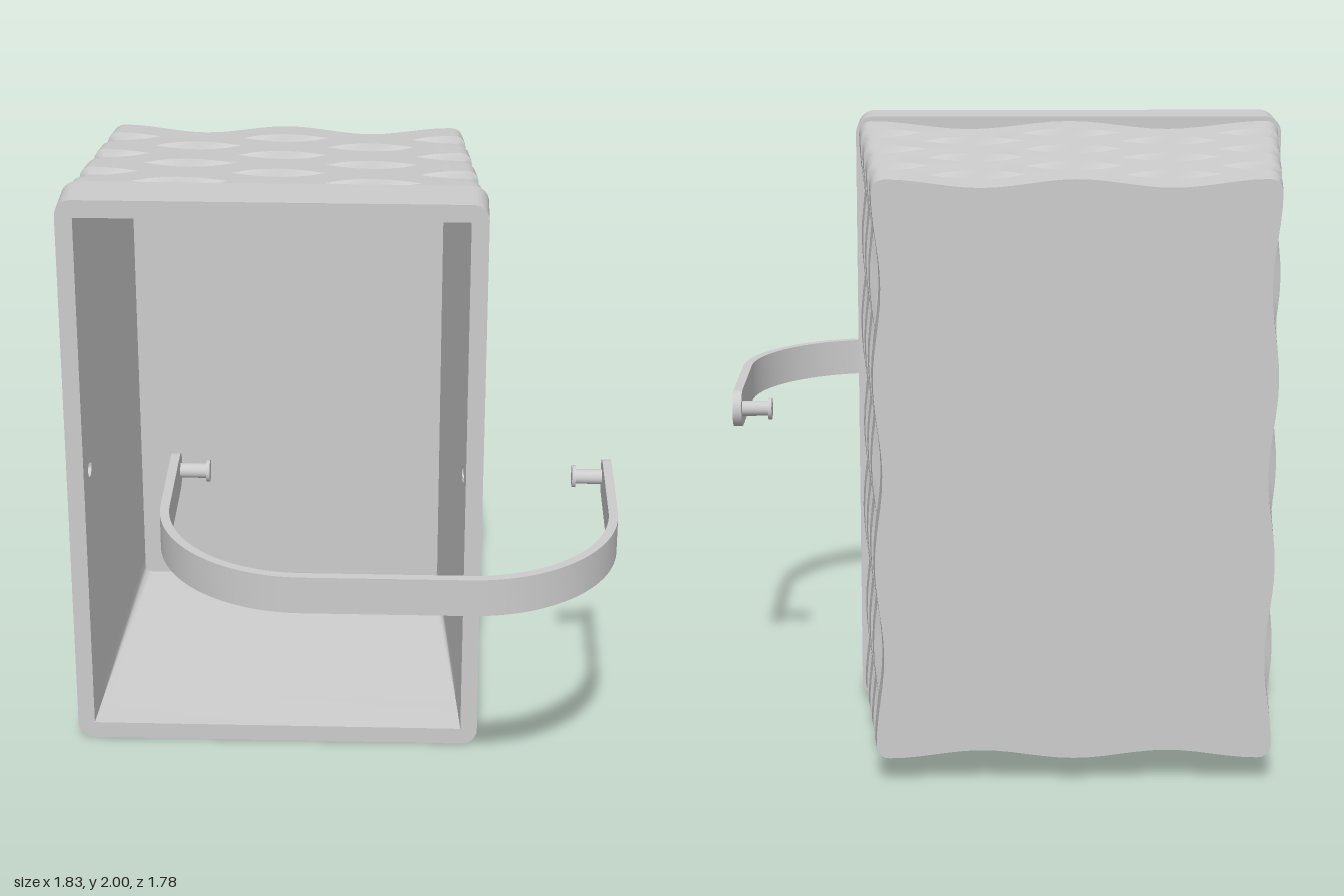
import * as THREE from 'three';
import { toCreasedNormals } from 'three/addons/utils/BufferGeometryUtils.js';

const CX = -0.2175, CY = 1;            // basket centre line
const HW = 0.6975, HH = 1;             // rim half width and half height
const IW = 0.64, IH = 0.94;            // opening half width and half height
const FRONT = 0.12, RIM_BACK = -0.06, BACK = -0.89, FLOOR = -0.85;
const INNER_SLOPE = 0.0876;
const PIN_Z = 0.022;
const material = new THREE.MeshStandardMaterial({ color: 0xcccccc });

function addMesh(parent, geometry, name) {
  const mesh = new THREE.Mesh(geometry, material);
  mesh.name = name;
  parent.add(mesh);
  return mesh;
}

// Rounded rectangle, counter-clockwise, pushed outward by wave(t, periods) along each side
function ring(hw, hh, r, z, wave) {
  const points = [];
  const sides = [[hh, hw, 3], [hw, hh, 2], [hh, hw, 3], [hw, hh, 2]];
  sides.forEach(([half, dist, periods], side) => {
    const a = side * Math.PI / 2, n = periods * 12, len = half - r;
    const put = (along, out) => points.push([
      CX + out * Math.cos(a) - along * Math.sin(a),
      CY + out * Math.sin(a) + along * Math.cos(a), z]);
    for (let i = 0; i <= n; i++) put(-len + 2 * len * i / n, dist + wave(i / n, periods));
    const rr = r + wave(1, periods);
    for (let i = 1; i < 5; i++) {
      const c = i / 5 * Math.PI / 2;
      put(len + rr * Math.sin(c), dist - r + rr * Math.cos(c));
    }
  });
  return points;
}

// Skin rings running toward -z and close the last one; inward turns the faces around
function loft(rings, inward) {
  const n = rings[0].length, index = [], position = rings.flat(2);
  const tri = (a, b, c) => (inward ? index.push(a, c, b) : index.push(a, b, c));
  for (let k = 0; k < rings.length - 1; k++) {
    for (let i = 0; i < n; i++) {
      const a = k * n + i, b = k * n + (i + 1) % n;
      tri(a, a + n, b);
      tri(b, a + n, b + n);
    }
  }
  const last = (rings.length - 1) * n, centre = rings.length * n;
  position.push(CX, CY, rings[rings.length - 1][0][2]);
  for (let i = 0; i < n; i++) tri(centre, last + (i + 1) % n, last + i);
  const g = new THREE.BufferGeometry();
  g.setAttribute('position', new THREE.Float32BufferAttribute(position, 3));
  g.setIndex(index);
  return toCreasedNormals(g, 0.6);
}

// Seven woven rows whose waves alternate from row to row
function wovenWall() {
  const rings = [], rows = 7, amp = 0.013, gap = 0.006;
  const step = (RIM_BACK - BACK) / rows;
  for (let row = 0; row < rows; row++) {
    const sign = row % 2 ? -1 : 1;
    const wave = (t, periods) => amp * (sign * Math.cos(t * periods * 2 * Math.PI) - 1);
    const z0 = RIM_BACK - row * step - (row ? gap : 0);
    const z1 = RIM_BACK - (row + 1) * step + (row < rows - 1 ? gap : 0);
    for (const z of [z0, z1]) {
      const taper = 0.07 * (RIM_BACK - z) / (RIM_BACK - BACK);
      rings.push(ring(0.6875 - taper, 0.985 - taper, 0.04, z, wave));
    }
  }
  return loft(rings, false);
}

function liner() {
  const rings = [RIM_BACK, FLOOR].map((z) => {
    const d = INNER_SLOPE * (FRONT - z);
    return ring(IW - d, IH - d, z === FLOOR ? 0.03 : 0.005, z, () => 0);
  });
  return loft(rings, true);
}

// Slope the inner faces of a rim piece so they continue into the liner
function slopeInside(geometry) {
  const p = geometry.attributes.position;
  for (let i = 0; i < p.count; i++) {
    const x = p.getX(i), y = p.getY(i), d = INNER_SLOPE * (FRONT - p.getZ(i));
    if (Math.abs(x) > IW + 0.01) continue;
    if (Math.abs(y) > IH + 0.01) continue;
    p.setX(i, x - Math.sign(x) * d);
    if (Math.abs(y) > 0.9) p.setY(i, y - Math.sign(y) * d);
  }
  geometry.translate(CX, CY, 0);
  return toCreasedNormals(geometry, 0.6);
}

function rimEnd() {
  const r = 0.055, s = new THREE.Shape();
  s.moveTo(-HW, IH);
  s.lineTo(-IW, IH);
  s.lineTo(IW, IH);
  s.lineTo(HW, IH);
  s.lineTo(HW, HH - r);
  s.absarc(HW - r, HH - r, r, 0, Math.PI / 2, false);
  s.absarc(-HW + r, HH - r, r, Math.PI / 2, Math.PI, false);
  const g = new THREE.ExtrudeGeometry(s, { depth: FRONT - RIM_BACK, bevelEnabled: false, curveSegments: 6 });
  return g.translate(0, 0, RIM_BACK);
}

// Long side of the rim with its pin hole, drawn in the z-y plane
function rimSide() {
  const s = new THREE.Shape();
  s.moveTo(-FRONT, -IH);
  s.lineTo(-RIM_BACK, -IH);
  s.lineTo(-RIM_BACK, IH);
  s.lineTo(-FRONT, IH);
  s.closePath();
  const hole = new THREE.Path();
  hole.absarc(-PIN_Z, 0, 0.028, 0, Math.PI * 2, true);
  s.holes.push(hole);
  const g = new THREE.ExtrudeGeometry(s, { depth: HW - IW, bevelEnabled: false, curveSegments: 12 });
  return g.rotateY(Math.PI / 2).translate(IW, 0, 0);
}

// Flat bent strip with rounded ends and headed pins pointing inward
function buildHandle() {
  const handle = new THREE.Group();
  handle.name = 'handle';
  handle.position.set(0.17, CY, 0);
  const half = 0.74, t = 0.03, top = 0.895, R = 0.48, w = 0.125, end = 0.032;
  const s = new THREE.Shape();
  s.moveTo(half - t, end);
  s.lineTo(half, end);
  s.absarc(half - R, top - R, R, 0, Math.PI / 2, false);
  s.absarc(R - half, top - R, R, Math.PI / 2, Math.PI, false);
  s.lineTo(-half, end);
  s.lineTo(-half + t, end);
  s.absarc(R - half, top - R, R - t, Math.PI, Math.PI / 2, true);
  s.absarc(half - R, top - R, R - t, Math.PI / 2, 0, true);
  const strip = new THREE.ExtrudeGeometry(s, { depth: w, bevelEnabled: false, curveSegments: 16 });
  strip.rotateX(Math.PI / 2).translate(0, w / 2, 0);
  addMesh(handle, toCreasedNormals(strip, 0.6), 'handleStrip');

  const addDisc = (radius, length, x, z, name) => {
    const g = new THREE.CylinderGeometry(radius, radius, length, 24).rotateZ(Math.PI / 2);
    addMesh(handle, g, name).position.set(x, 0, z);
  };
  for (const side of [-1, 1]) {
    addDisc(w / 2, t, side * (half - t / 2), end, 'handleEnd');
    addDisc(0.025, 0.1, side * (half - t - 0.045), PIN_Z, 'pin');
    addDisc(0.037, 0.012, side * (half - t - 0.094), PIN_Z, 'pinHead');
  }
  return handle;
}

export function createModel() {
  const model = new THREE.Group();
  model.name = 'basketWithHandle';
  const basket = new THREE.Group();
  basket.name = 'basket';
  model.add(basket);
  addMesh(basket, wovenWall(), 'wovenWall');
  addMesh(basket, liner(), 'innerWall');
  for (const turn of [0, Math.PI]) {
    addMesh(basket, slopeInside(rimEnd().rotateZ(turn)), 'rimEnd');
    addMesh(basket, slopeInside(rimSide().rotateZ(turn)), 'rimSide');
  }
  model.add(buildHandle());
  return model;
}
